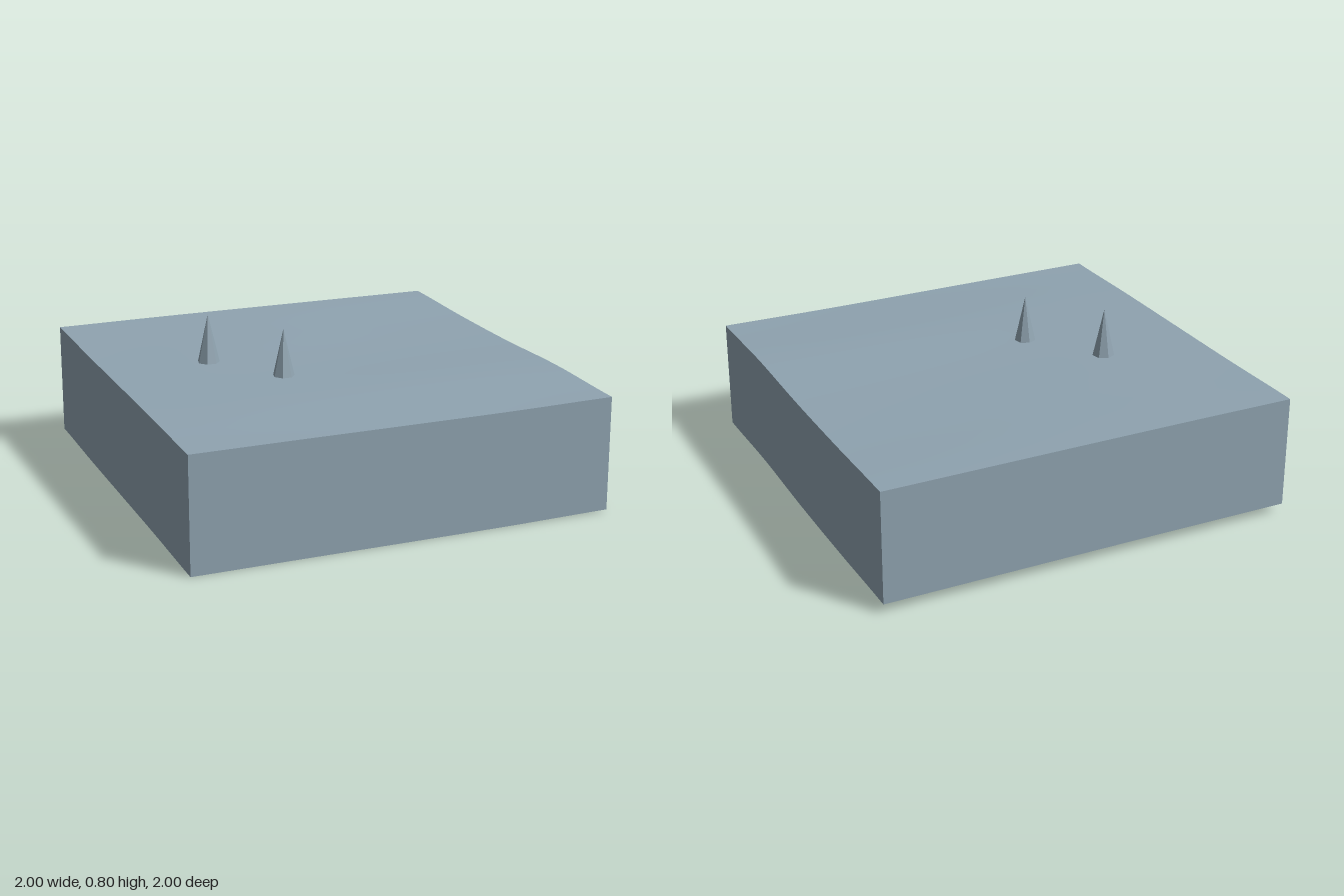
import * as THREE from 'three';

const DEPTH = 0.537; // wall height, constant along the rolling rim
const STEPS = 24;

// Ground heights on a coarse grid: rows run back to front, columns run -x to +x
const HEIGHTS = [
  [0.583, 0.585, 0.585, 0.584, 0.583],
  [0.569, 0.574, 0.574, 0.570, 0.567],
  [0.560, 0.564, 0.562, 0.560, 0.559],
  [0.551, 0.556, 0.560, 0.562, 0.562],
  [0.537, 0.538, 0.538, 0.539, 0.545],
];

function smooth(values, coord) {
  const t = THREE.MathUtils.clamp((coord + 1) / 2, 0, 1);
  return new THREE.SplineCurve(values.map((v, i) => new THREE.Vector2(i, v))).getPoint(t).y;
}

function groundHeight(x, z) {
  return smooth(HEIGHTS.map((row) => smooth(row, x)), z);
}

// Lift every vertex onto the ground; vertices below zero hang DEPTH lower
function drape(geometry) {
  const p = geometry.attributes.position;
  for (let i = 0; i < p.count; i++) {
    const drop = p.getY(i) < -0.01 ? DEPTH : 0;
    p.setY(i, groundHeight(p.getX(i), p.getZ(i)) - drop);
  }
  geometry.computeVertexNormals();
  return geometry;
}

export function createModel() {
  const group = new THREE.Group();
  const stone = new THREE.MeshStandardMaterial({ color: 0x8fa3b0, side: THREE.DoubleSide });
  stone.name = 'blue grey';
  const facetedStone = stone.clone();
  facetedStone.name = 'blue grey faceted';
  facetedStone.flatShading = true;

  const add = (name, geometry, material) => {
    const mesh = new THREE.Mesh(geometry, material);
    mesh.name = name;
    group.add(mesh);
    return mesh;
  };

  // Rolling ground surface
  add('ground', drape(new THREE.PlaneGeometry(2, 2, STEPS, STEPS).rotateX(-Math.PI / 2)), stone);

  // Four skirt walls, open underneath
  ['frontWall', 'leftWall', 'backWall', 'rightWall'].forEach((name, i) => {
    const wall = new THREE.PlaneGeometry(2, DEPTH, STEPS, 1)
      .translate(0, -DEPTH / 2, 1)
      .rotateY((i * Math.PI) / 2);
    add(name, drape(wall), stone);
  });

  // Seven-sided cone trees, one corner pointing to the back
  [[-0.5, -0.167, 0.8], [-0.25, 0.167, 0.785]].forEach(([x, z, tip], i) => {
    const height = 0.233;
    const cone = new THREE.ConeGeometry(0.053, height, 7, 1, false, Math.PI);
    add(`tree${i + 1}`, cone, facetedStone).position.set(x, tip - height / 2, z);
  });

  return group;
}
